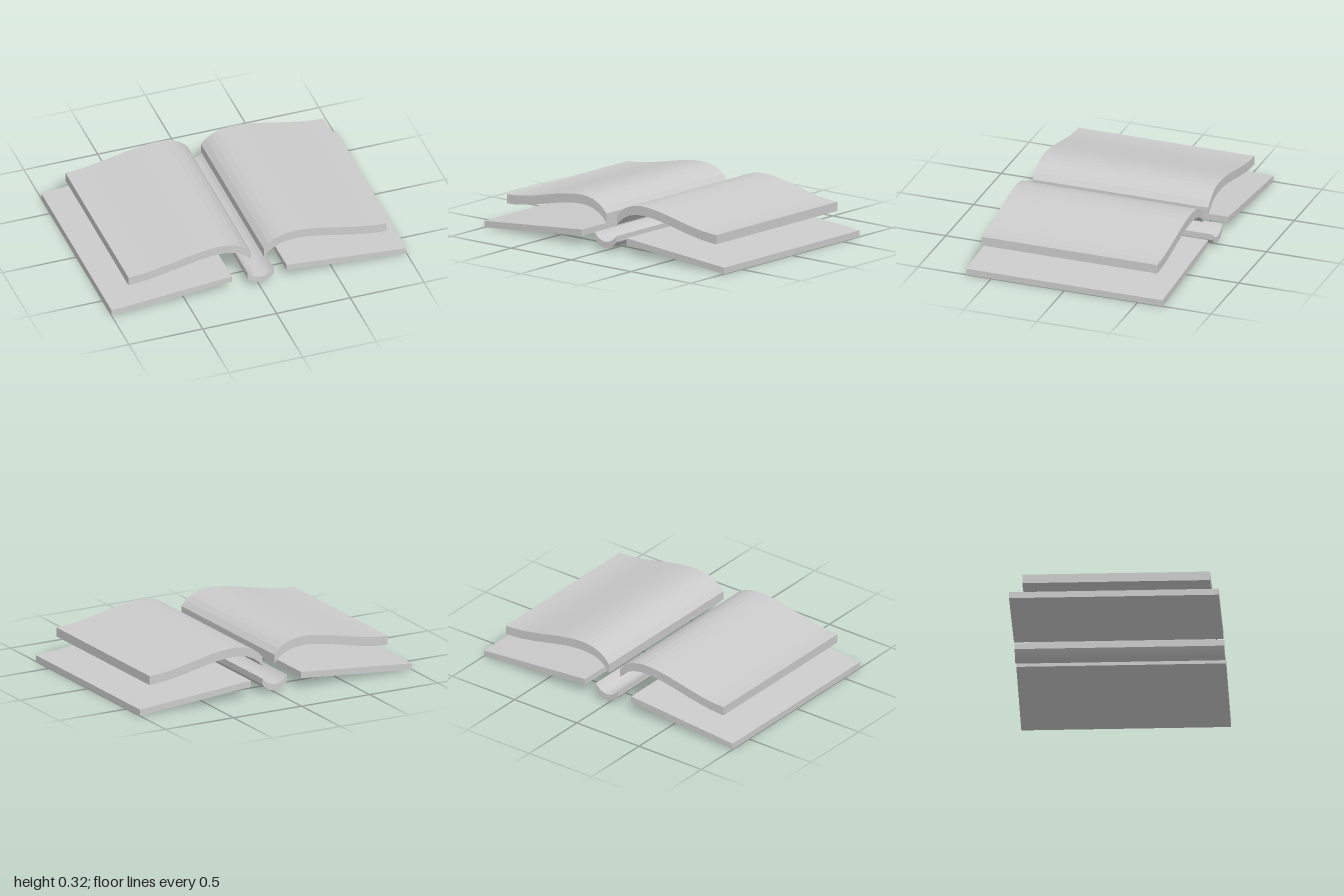
import * as THREE from 'three';

const material = new THREE.MeshStandardMaterial({ color: 0xcccccc });
const CENTRE = 0.01; // middle of the spine and pages

// Slab whose upper edge follows the points, with vertical thickness, run along z
function slab(name, points, thickness, zMin, zMax) {
  const lower = points.map((p) => new THREE.Vector2(p.x, p.y - thickness)).reverse();
  const geometry = new THREE.ExtrudeGeometry(new THREE.Shape([...points, ...lower]), {
    depth: zMax - zMin,
    bevelEnabled: false,
  });
  geometry.translate(0, 0, zMin);
  const mesh = new THREE.Mesh(geometry, material);
  mesh.name = name;
  return mesh;
}

function bezier(coords, segments) {
  return new THREE.CubicBezierCurve(...coords.map(([x, y]) => new THREE.Vector2(x, y))).getPoints(segments);
}

export function createModel() {
  const group = new THREE.Group();
  group.name = 'openBook';

  for (const [side, s] of [['left', 1], ['right', -1]]) {
    // Cover board, sloping down to its outer edge
    const cover = [new THREE.Vector2(s * 0.185, 0.11), new THREE.Vector2(s, 0.042)];
    group.add(slab(side + 'Cover', cover, 0.042, -0.67, 0.67));

    // Curved page block, arching up beside the spine
    const arch = [[0.044, 0.227], [0.2, 0.436], [0.565, 0.227], [0.875, 0.227]];
    const pages = bezier(arch.map(([x, y]) => [CENTRE + s * x, y]), 16);
    group.add(slab(side + 'Pages', pages, 0.06, -0.59, 0.61));
  }

  // Hollow, trough-shaped spine
  const trough = [[-0.09, 0.11], [-0.045, 0.043], [0.045, 0.043], [0.09, 0.11]];
  const spine = bezier(trough.map(([x, y]) => [CENTRE + x, y]), 10);
  group.add(slab('spine', spine, 0.04, -0.67, 0.67));

  return group;
}
